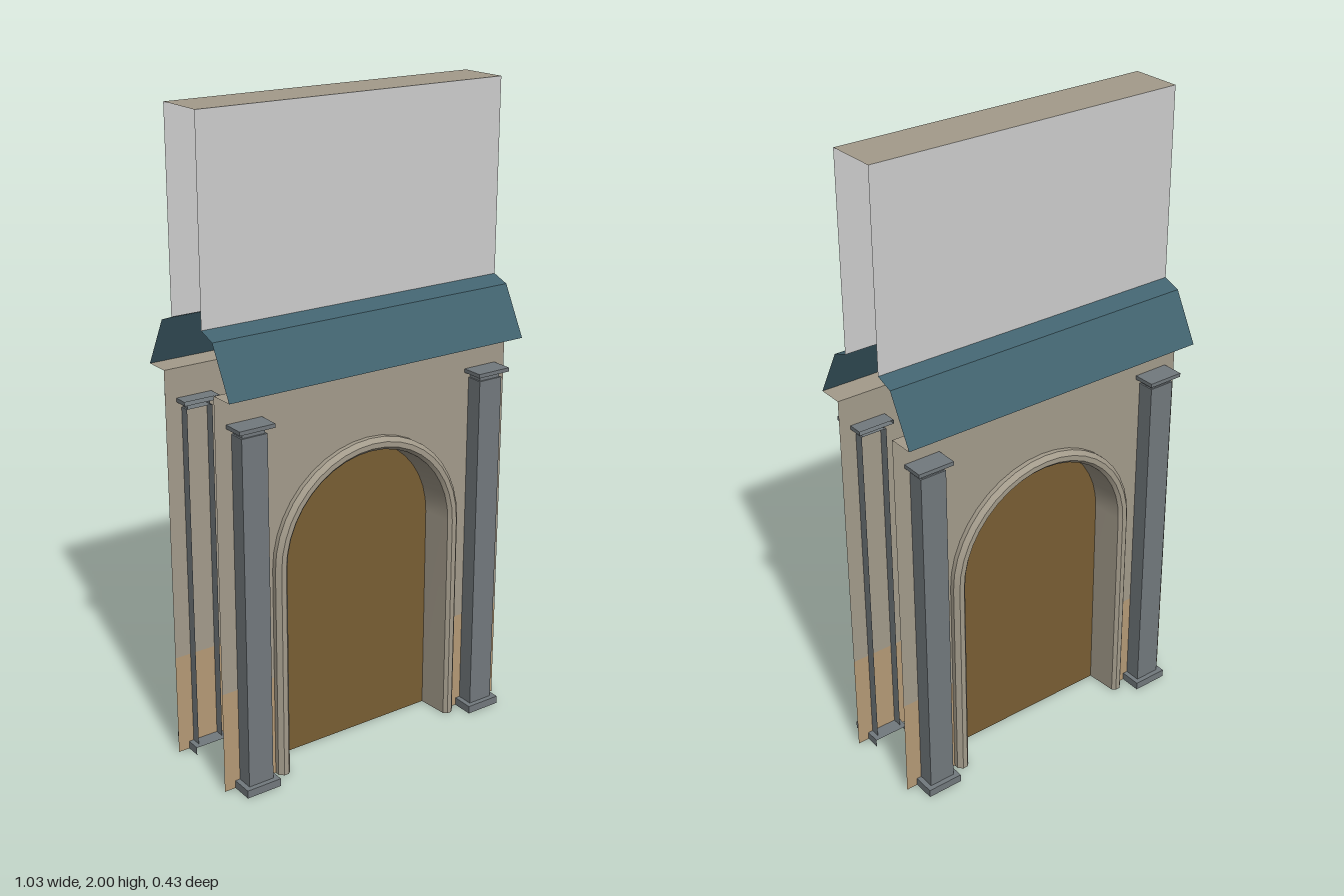
import * as THREE from 'three';
import { mergeGeometries } from 'three/addons/utils/BufferGeometryUtils.js';

const mat = (name, color) => new THREE.MeshStandardMaterial({ name, color, side: THREE.DoubleSide });

const HALF = 0.515;   // half width of the whole piece
const WALL_Z = 0.135; // wall plane of the lower storey
const SPRING = 0.675; // height where the arch begins
const SPLIT = 0.325;  // top of the painted plinth band

function surface(positions, index) {
  const g = new THREE.BufferGeometry();
  g.setAttribute('position', new THREE.Float32BufferAttribute(positions, 3));
  g.setIndex(index);
  g.computeVertexNormals();
  return g;
}

// Flat sheets across the full width, following [z, y] profile points
function sheet(profile) {
  const quads = [];
  for (let i = 0; i < profile.length - 1; i++) {
    const [[z0, y0], [z1, y1]] = [profile[i], profile[i + 1]];
    quads.push(surface(
      [-HALF, y0, z0, -HALF, y1, z1, HALF, y0, z0, HALF, y1, z1],
      [0, 1, 2, 2, 1, 3]));
  }
  return mergeGeometries(quads);
}

// Sweep a [radius, z] profile along the arch: up, over and down
function archSweep(profile, steps = 20) {
  const path = [[1, 0, 0]];
  for (let i = 0; i <= steps; i++) {
    const a = Math.PI * i / steps;
    path.push([Math.cos(a), Math.sin(a), SPRING]);
  }
  path.push([-1, 0, 0]);
  const strips = [];
  for (let k = 0; k < profile.length - 1; k++) {
    const pos = [], index = [];
    path.forEach(([c, s, y], i) => {
      for (const [r, z] of [profile[k], profile[k + 1]]) pos.push(c * r, y + s * r, z);
      if (i < path.length - 1) {
        const a = i * 2;
        index.push(a, a + 2, a + 1, a + 1, a + 2, a + 3);
      }
    });
    strips.push(surface(pos, index));
  }
  return mergeGeometries(strips);
}

// Box without some faces; order of faces is +x, -x, +y, -y, +z, -z
function openBox(w, h, d, y, removed) {
  const g = new THREE.BoxGeometry(w, h, d).translate(0, y + h / 2, 0);
  const index = Array.from(g.index.array);
  g.setIndex(index.filter((_, i) => !removed.includes(Math.floor(i / 6))));
  g.clearGroups();
  return g;
}

// Wall with an arched opening above the plinth band
function upperWall() {
  const s = new THREE.Shape();
  s.moveTo(0.33, SPLIT);
  s.lineTo(HALF, SPLIT);
  s.lineTo(HALF, 1.24);
  s.lineTo(-HALF, 1.24);
  s.lineTo(-HALF, SPLIT);
  s.lineTo(-0.33, SPLIT);
  s.lineTo(-0.33, SPRING);
  s.absarc(0, SPRING, 0.33, Math.PI, 0, true);
  s.lineTo(0.33, SPLIT);
  return new THREE.ShapeGeometry(s, 20).translate(0, 0, WALL_Z);
}

function doorPanel() {
  const s = new THREE.Shape();
  s.moveTo(-0.29, 0);
  s.lineTo(0.29, 0);
  s.lineTo(0.29, SPRING);
  s.absarc(0, SPRING, 0.29, 0, Math.PI, false);
  s.lineTo(-0.29, 0);
  return new THREE.ShapeGeometry(s, 20).translate(0, 0, 0.054);
}

export function createModel() {
  const plaster = mat('plaster', 0xa39b8b);
  const tan = mat('tan plinth', 0xb59a76);
  const pale = mat('pale grey', 0xcdcdcd);
  const teal = mat('teal roof', 0x42636f);
  const wood = mat('brown door', 0x795e33);
  const stone = mat('grey stone', 0x72797d);

  const model = new THREE.Group();
  model.name = 'archedGate';
  const add = (parent, name, geometry, material) => {
    const m = new THREE.Mesh(geometry, material);
    m.name = name;
    parent.add(m);
    return m;
  };

  // Front and back faces are the same, turned half way round
  for (const [name, turn] of [['frontFace', 0], ['backFace', Math.PI]]) {
    const face = new THREE.Group();
    face.name = name;
    face.rotation.y = turn;
    model.add(face);

    add(face, 'wall', upperWall(), plaster);
    add(face, 'door', doorPanel(), wood);
    add(face, 'archTrim', archSweep([
      [0.335, WALL_Z], [0.335, 0.15], [0.322, 0.163], [0.306, 0.163], [0.296, 0.153],
    ]), plaster);
    add(face, 'archReveal', archSweep([[0.296, 0.153], [0.288, 0.054]]), plaster);

    // Canopy roof, its soffit and the panel above
    add(face, 'roof', sheet([[0.08, 1.41], [0.135, 1.39], [0.215, 1.24]]), teal);
    add(face, 'soffit', sheet([[0.215, 1.24], [WALL_Z, 1.24]]), plaster);
    add(face, 'upperPanel', sheet([[0.08, 2], [0.08, 1.41]]), pale);

    for (const side of [-1, 1]) {
      add(face, 'plinth', new THREE.PlaneGeometry(HALF - 0.33, SPLIT)
        .translate(side * (HALF + 0.33) / 2, SPLIT / 2, WALL_Z), tan);

      // Square pilaster, open at the back where it passes through the wall
      const pilaster = new THREE.Group();
      pilaster.name = 'pilaster';
      pilaster.position.set(side * 0.42, 0, 0.146);
      add(pilaster, 'base', openBox(0.116, 0.025, 0.116, 0, [3, 5]), stone);
      add(pilaster, 'shaft', openBox(0.084, 1.095, 0.084, 0.025, [3, 5]), stone);
      add(pilaster, 'neck', openBox(0.074, 0.018, 0.074, 1.12, [2, 3, 5]), stone);
      add(pilaster, 'capital', openBox(0.116, 0.012, 0.116, 1.138, [5]), stone);
      face.add(pilaster);
    }
  }

  add(model, 'topSlab', sheet([[-0.08, 2], [0.08, 2]]), plaster);
  return model;
}
